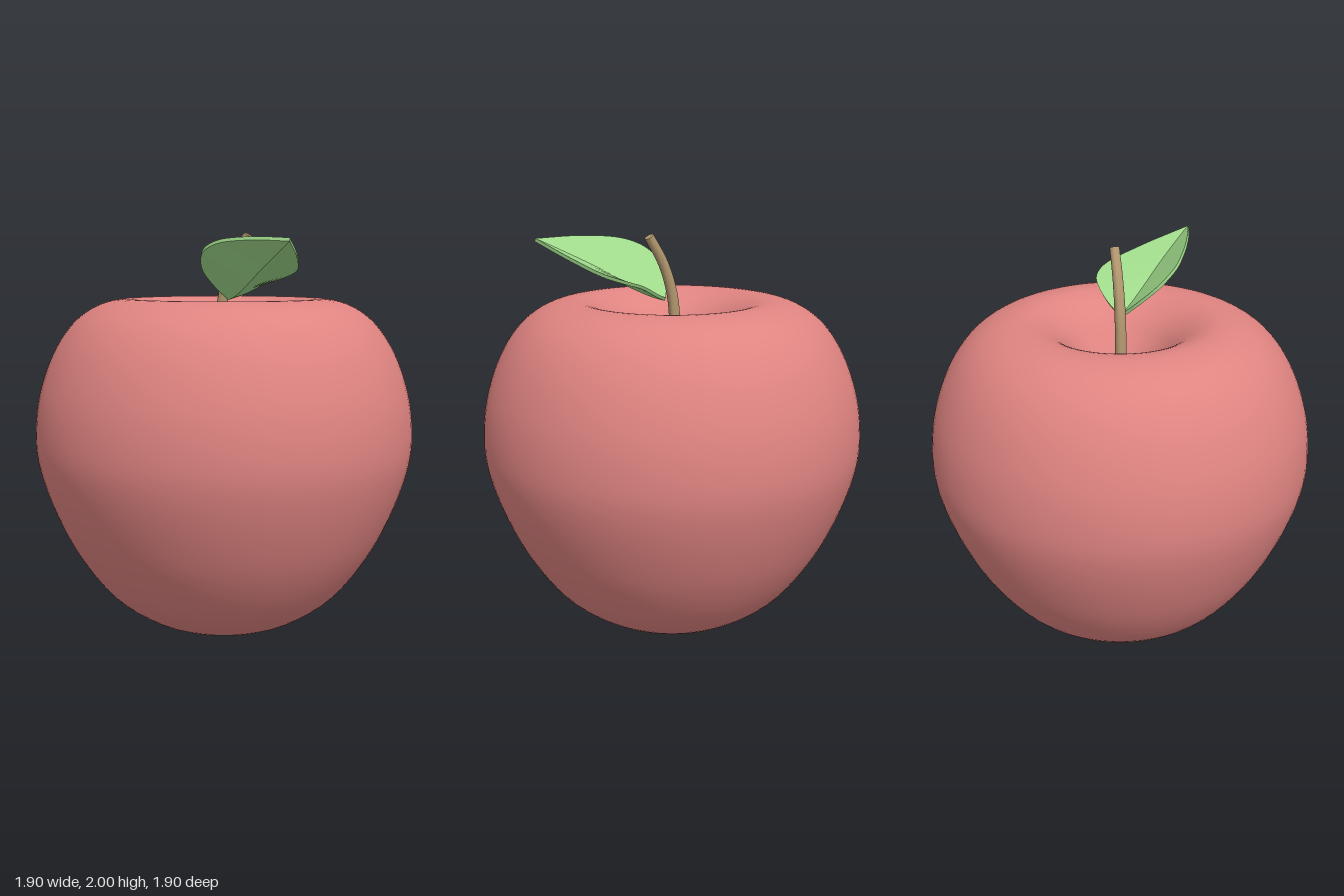
import * as THREE from 'three';
import { toCreasedNormals } from 'three/addons/utils/BufferGeometryUtils.js';

const skin = new THREE.MeshStandardMaterial({ color: 0xdf8481 });
skin.name = 'skinRed';
const green = new THREE.MeshStandardMaterial({ color: 0x9fd98a });
green.name = 'leafGreen';
const bark = new THREE.MeshStandardMaterial({ color: 0xb2976f });
bark.name = 'stemBrown';

const curve = (pts) => new THREE.CatmullRomCurve3(pts.map((p) => new THREE.Vector3(...p)));

function part(name, geometry, material) {
  const mesh = new THREE.Mesh(geometry, material);
  mesh.name = name;
  return mesh;
}

// Fruit: a turned profile from the bottom dimple, round the side, into the top dimple
function fruitGeometry() {
  const profile = new THREE.SplineCurve([
    [0, 0.09], [0.07, 0.065], [0.14, 0.02], [0.23, 0], [0.4, 0.055], [0.59, 0.19],
    [0.75, 0.4], [0.86, 0.62], [0.93, 0.83], [0.948, 1.0], [0.925, 1.2], [0.855, 1.4],
    [0.755, 1.55], [0.63, 1.64], [0.49, 1.672], [0.38, 1.645], [0.28, 1.575],
    [0.2, 1.48], [0.13, 1.39], [0.06, 1.345], [0, 1.335],
  ].map((p) => new THREE.Vector2(...p)));
  const points = profile.getPoints(100);
  points.forEach((p) => { p.x = Math.max(p.x, 0); });
  return new THREE.LatheGeometry(points, 96);
}

// Stem: a tapered cylinder bent along a curve in the x-y plane
function stemGeometry() {
  const path = curve([[-0.02, 1.31, 0], [-0.02, 1.5, 0], [0, 1.7, 0], [0.05, 1.85, 0], [0.13, 1.985, 0]]);
  const geometry = new THREE.CylinderGeometry(0.024, 0.03, 1, 20, 20);
  const pos = geometry.attributes.position;
  for (let i = 0; i < pos.count; i++) {
    const t = THREE.MathUtils.clamp(pos.getY(i) + 0.5, 0, 1);
    const c = path.getPoint(t);
    const d = path.getTangent(t);
    pos.setXYZ(i, c.x + pos.getX(i) * d.y, c.y - pos.getX(i) * d.x, pos.getZ(i));
  }
  return toCreasedNormals(geometry, 0.8);
}

// Leaf: a thin folded blade lofted between two edges and the midrib
function leafGeometry() {
  const base = [0.03, 1.672, 0.015];
  const tip = [0.512, 1.95, 0.47];
  const left = curve([base, [-0.025, 1.755, 0.095], [-0.042, 1.825, 0.175], [0, 1.9, 0.27],
    [0.1, 1.943, 0.335], [0.3, 1.958, 0.41], tip]);
  const mid = curve([base, [0.07, 1.685, 0.05], [0.13, 1.715, 0.105], [0.21, 1.765, 0.18],
    [0.3, 1.825, 0.265], [0.4, 1.885, 0.36], tip]);
  const right = curve([base, [0.1, 1.7, -0.025], [0.2, 1.75, -0.057], [0.3, 1.782, -0.055],
    [0.385, 1.815, 0.005], [0.455, 1.875, 0.2], tip]);
  const offset = new THREE.Vector3(-0.1, 0.89, -0.44).multiplyScalar(0.009);

  const rows = 36;
  const positions = [];
  const index = [];
  for (let i = 0; i <= rows; i++) {
    const [l, m, r] = [left, mid, right].map((c) => c.getPoint(i / rows));
    const up = (p) => p.clone().add(offset);
    const down = (p) => p.clone().sub(offset);
    for (const p of [up(l), up(m), up(r), down(r), down(m), down(l)]) positions.push(p.x, p.y, p.z);
  }
  for (let i = 0; i < rows; i++) {
    for (let k = 0; k < 6; k++) {
      const a = i * 6 + k;
      const b = i * 6 + ((k + 1) % 6);
      index.push(a, a + 6, b, b, a + 6, b + 6);
    }
  }
  const geometry = new THREE.BufferGeometry();
  geometry.setAttribute('position', new THREE.Float32BufferAttribute(positions, 3));
  geometry.setIndex(index);
  // Wind the faces outward whichever way the loops run
  const corner = (n) => new THREE.Vector3().fromArray(positions, n * 3);
  const p = corner(60);
  const facing = corner(66).sub(p).cross(corner(61).sub(p)).dot(offset);
  if (facing < 0) geometry.setIndex(index.reverse());
  return toCreasedNormals(geometry, 0.5);
}

export function createModel() {
  const group = new THREE.Group();
  group.name = 'apple';
  group.add(
    part('fruit', fruitGeometry(), skin),
    part('stem', stemGeometry(), bark),
    part('leaf', leafGeometry(), green),
  );
  return group;
}
